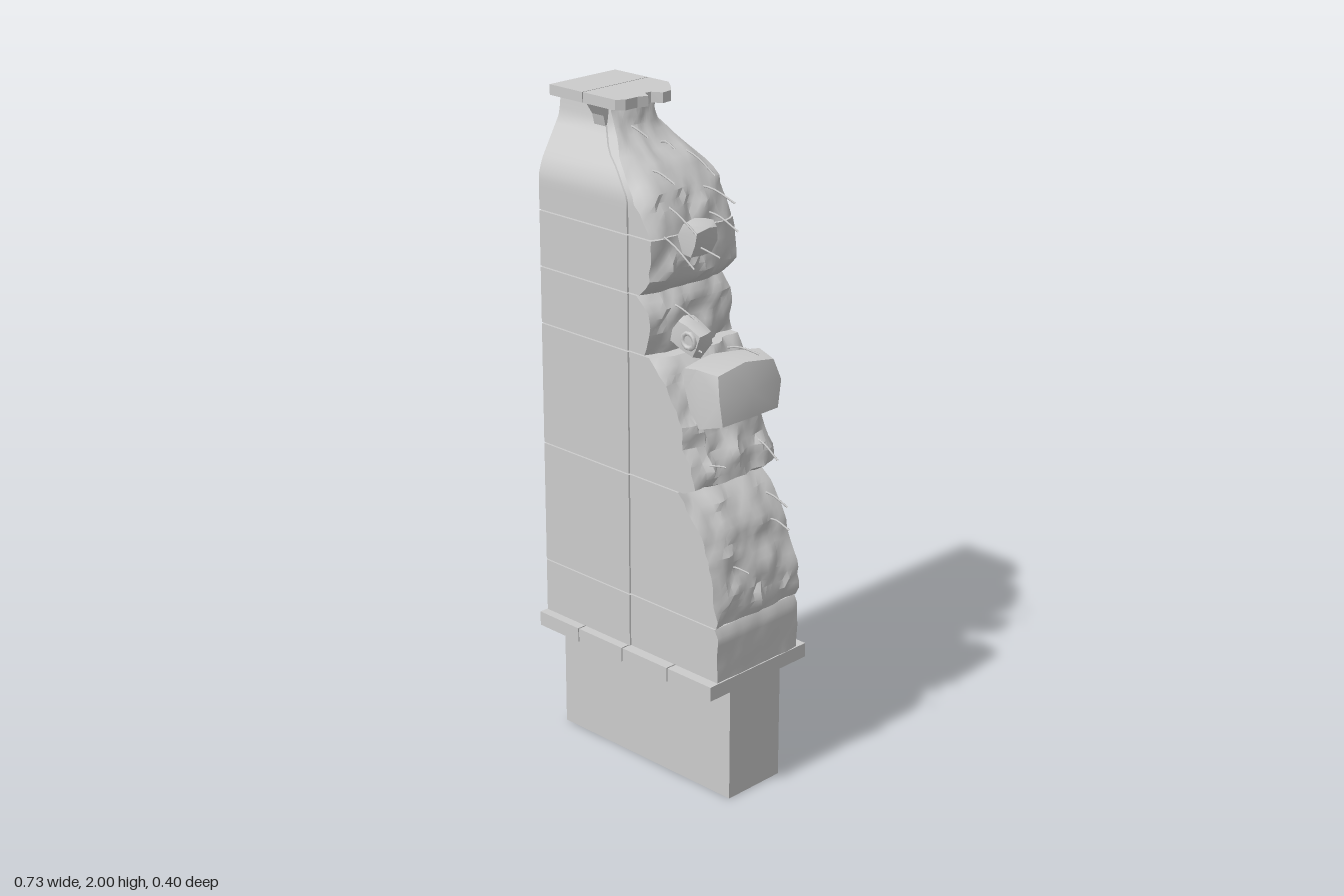
import * as THREE from 'three';
import { toCreasedNormals } from 'three/addons/utils/BufferGeometryUtils.js';
import { ConvexGeometry } from 'three/addons/geometries/ConvexGeometry.js';

const grey = new THREE.MeshStandardMaterial({ color: 0xcccccc });
const greyOpen = new THREE.MeshStandardMaterial({ color: 0xcccccc, side: THREE.DoubleSide });

// Seeded hash and smooth 2D value noise in -1..1
const hash = (a, b) => {
  const s = Math.sin(a * 127.1 + b * 311.7) * 43758.5453;
  return (s - Math.floor(s)) * 2 - 1;
};
function noise(u, v) {
  const i = Math.floor(u), j = Math.floor(v);
  const f = (t) => t * t * (3 - 2 * t), a = f(u - i), b = f(v - j);
  const l = THREE.MathUtils.lerp;
  return l(l(hash(i, j), hash(i + 1, j), a), l(hash(i, j + 1), hash(i + 1, j + 1), a), b);
}

// Linear lookup in a list of [y, value]
function sample(list, y) {
  for (let i = 1; i < list.length; i++) {
    const [y0, a] = list[i - 1], [y1, b] = list[i];
    if (y <= y1) return a + (b - a) * Math.max(0, (y - y0) / (y1 - y0));
  }
  return list[list.length - 1][1];
}

// Closed solid from equal-length rings, running anticlockwise seen from above
function loft(rings, crease) {
  const pos = [], idx = [], n = rings[0].length;
  rings.forEach((r) => r.forEach((p) => pos.push(...p)));
  for (let k = 0; k < rings.length - 1; k++) {
    for (let i = 0; i < n; i++) {
      const a = k * n + i, b = k * n + (i + 1) % n;
      idx.push(a, b, b + n, a, b + n, a + n);
    }
  }
  [0, rings.length - 1].forEach((k) => {
    const c = pos.length / 3;
    pos.push(0, 1, 2).toString();
    for (let d = 0; d < 3; d++) pos[c * 3 + d] = rings[k].reduce((s, p) => s + p[d], 0) / n;
    for (let i = 0; i < n; i++) {
      const a = k * n + i, b = k * n + (i + 1) % n;
      if (k) idx.push(c, a, b); else idx.push(c, b, a);
    }
  });
  const g = new THREE.BufferGeometry();
  g.setAttribute('position', new THREE.Float32BufferAttribute(pos, 3));
  g.setIndex(idx);
  return toCreasedNormals(g, crease);
}

const halfDepth = [[0, 0.172], [1.75, 0.172], [1.79, 0.16], [1.91, 0.09], [1.97, 0.082]];

// One wall course: flat left end and faces, rough broken right end
function course(edge, rough, bulge) {
  const y0 = edge[0][0], y1 = edge[edge.length - 1][0];
  const rows = Math.max(4, Math.round((y1 - y0) / 0.022)), cols = 16, rings = [];
  for (let k = 0; k <= rows; k++) {
    const y = y0 + (y1 - y0) * k / rows, w = sample(halfDepth, y), x = sample(edge, y);
    const seam = Math.min(-0.01, x - 0.03), ws = w - 0.005;
    const ring = [[-0.363, y, -w], [-0.363, y, w], [seam, y, w], [seam + 0.001, y, ws]];
    for (let c = 0; c <= cols; c++) {
      const t = 1 - 2 * c / cols, z = ws * t;
      const bump = noise(y * 17 + 3, z * 17 + 9) + 0.6 * noise(y * 38, z * 38 + 5);
      ring.push([x + bulge * (1 - t ** 4) + rough * bump, y, z]);
    }
    ring.push([seam + 0.001, y, -ws], [seam, y, -w]);
    rings.push(ring);
  }
  return loft(rings, 0.6);
}

// Angular lump of masonry: a box with jittered corners and swollen faces
function chunk(sx, sy, sz, seed, jitter) {
  const pts = [];
  for (const x of [-1, 0, 1]) for (const y of [-1, 0, 1]) for (const z of [-1, 0, 1]) {
    const m = Math.abs(x) + Math.abs(y) + Math.abs(z);
    if (!m) continue;
    const r = [0, 1, 0.96, 0.85][m], n = seed + x * 9 + y * 3 + z;
    pts.push(new THREE.Vector3(
      x * sx / 2 * r * (1 + jitter * hash(n, 1)),
      y * sy / 2 * r * (1 + jitter * hash(n, 2)),
      z * sz / 2 * r * (1 + jitter * hash(n, 3))));
  }
  return toCreasedNormals(new ConvexGeometry(pts), 0.6);
}

export function createModel() {
  const model = new THREE.Group();
  const add = (name, geometry, x = 0, y = 0, z = 0, material = grey) => {
    const mesh = new THREE.Mesh(geometry, material);
    mesh.name = name;
    mesh.position.set(x, y, z);
    model.add(mesh);
    return mesh;
  };

  // Foundation block, open underneath
  const outline = new THREE.Shape([[-0.36, -0.105], [0.33, -0.105], [0.33, 0.105], [-0.36, 0.105]]
    .map((p) => new THREE.Vector2(...p)));
  const walls = new THREE.BoxGeometry(0.69, 0.36, 0.21);
  walls.setIndex(Array.from(walls.index.array).filter((v, i) => i < 12 || i >= 24));
  add('foundation', walls, -0.015, 0.18, 0, greyOpen);

  // Ledge of four slabs with fine joints
  const joints = [-0.367, -0.198, -0.014, 0.17, 0.345];
  for (let i = 0; i < 4; i++) {
    const a = joints[i], b = joints[i + 1];
    add('ledgeSlab', new THREE.BoxGeometry(b - a - 0.004, 0.044, 0.4), (a + b) / 2, 0.378, 0);
  }

  // Wall courses, each [height, x of broken edge]
  add('bottomCourse', course([[0.4, 0.338], [0.54, 0.338], [0.563, 0.325]], 0.002, 0.002));
  add('lowerCourse', course([[0.567, 0.325], [0.6, 0.335], [0.67, 0.325], [0.75, 0.3], [0.84, 0.26],
    [0.9, 0.22], [0.938, 0.17]], 0.013, 0.012));
  add('middleCourse', course([[0.942, 0.19], [0.96, 0.235], [1.02, 0.225], [1.09, 0.195], [1.17, 0.175],
    [1.25, 0.13], [1.308, 0.08]], 0.016, 0.025));
  add('upperCourse', course([[1.312, 0.06], [1.37, 0.065], [1.44, 0.06], [1.478, 0.03]], 0.013, 0.015));
  add('shoulderCourse', course([[1.482, 0.04], [1.52, 0.075], [1.58, 0.08], [1.645, 0.065]], 0.012, 0.014));
  add('taperedTop', course([[1.649, 0.06], [1.7, 0.045], [1.76, 0.01], [1.81, -0.04], [1.85, -0.1],
    [1.91, -0.145], [1.97, -0.165]], 0.013, 0.02));

  // Cap of two slabs, the second broken at its end
  const slab = (name, pts) => {
    const g = new THREE.ExtrudeGeometry(new THREE.Shape(pts.map((p) => new THREE.Vector2(...p))),
      { depth: 0.03, bevelEnabled: false });
    add(name, g.rotateX(-Math.PI / 2), 0, 1.97, 0);
  };
  slab('capSlab', [[-0.36, -0.127], [-0.228, -0.127], [-0.228, 0.127], [-0.36, 0.127]]);
  slab('brokenCapSlab', [[-0.225, -0.127], [-0.098, -0.127], [-0.08, -0.105], [-0.08, -0.06], [-0.068, -0.03],
    [-0.098, -0.012], [-0.096, 0.008], [-0.066, 0.025], [-0.07, 0.06], [-0.1, 0.09], [-0.145, 0.127], [-0.225, 0.127]]);

  // Bracket under the cap, wider at the top
  const bracket = new THREE.Shape([[-0.09, 0], [0.09, 0], [0.1, 0.04], [0.122, 0.072], [-0.122, 0.072], [-0.1, 0.04]]
    .map((p) => new THREE.Vector2(...p)));
  add('capBracket', new THREE.ExtrudeGeometry(bracket, { depth: 0.045, bevelEnabled: false })
    .rotateY(Math.PI / 2), -0.218, 1.898, 0);

  // Loose masonry caught on the break
  add('largeRubble', chunk(0.15, 0.17, 0.26, 4, 0.1), 0.213, 1.212, -0.008).rotation.z = 0.12;
  add('smallRubble', chunk(0.065, 0.095, 0.09, 31, 0.1), 0.118, 1.635, 0.025).rotation.z = -0.3;
  add('mediumRubble', chunk(0.1, 0.085, 0.065, 57, 0.12), 0.147, 1.37, 0.078).rotation.z = -0.35;
  add('brokenRim', new THREE.TorusGeometry(0.022, 0.008, 6, 10), 0.165, 1.368, 0.108);

  // Bent reinforcing rods: start x, y, end x, y, z
  [[-0.17, 1.9, -0.08, 1.88, 0.03], [-0.1, 1.85, -0.02, 1.85, -0.03], [-0.06, 1.83, 0.07, 1.78, -0.09],
    [-0.06, 1.8, 0.08, 1.79, 0.07], [0.0, 1.74, 0.16, 1.72, -0.08], [0.0, 1.73, 0.17, 1.67, 0.08],
    [0.05, 1.66, 0.21, 1.59, 0.13], [0.04, 1.61, 0.21, 1.6, 0.04], [0.05, 1.68, 0.19, 1.65, -0.06],
    [0.04, 1.44, 0.16, 1.41, 0.07], [0.05, 1.34, 0.2, 1.34, 0.1], [0.1, 1.28, 0.25, 1.3, -0.09],
    [0.2, 1.04, 0.32, 1.0, -0.1], [0.2, 0.99, 0.3, 1.03, 0.11], [0.24, 0.87, 0.33, 0.85, -0.12],
    [0.26, 0.8, 0.365, 0.8, -0.1], [0.28, 0.71, 0.365, 0.72, 0.08],
  ].forEach(([x0, y0, x1, y1, z], i) => {
    const path = new THREE.CatmullRomCurve3([
      new THREE.Vector3(x0, y0, z - 0.01),
      new THREE.Vector3((x0 + x1) / 2, (y0 + y1) / 2 + 0.012, z),
      new THREE.Vector3(x1, y1, z + 0.012 * hash(i, 8))]);
    add('reinforcingRod', new THREE.TubeGeometry(path, 6, 0.003, 5), 0, 0, 0, greyOpen);
  });

  return model;
}
